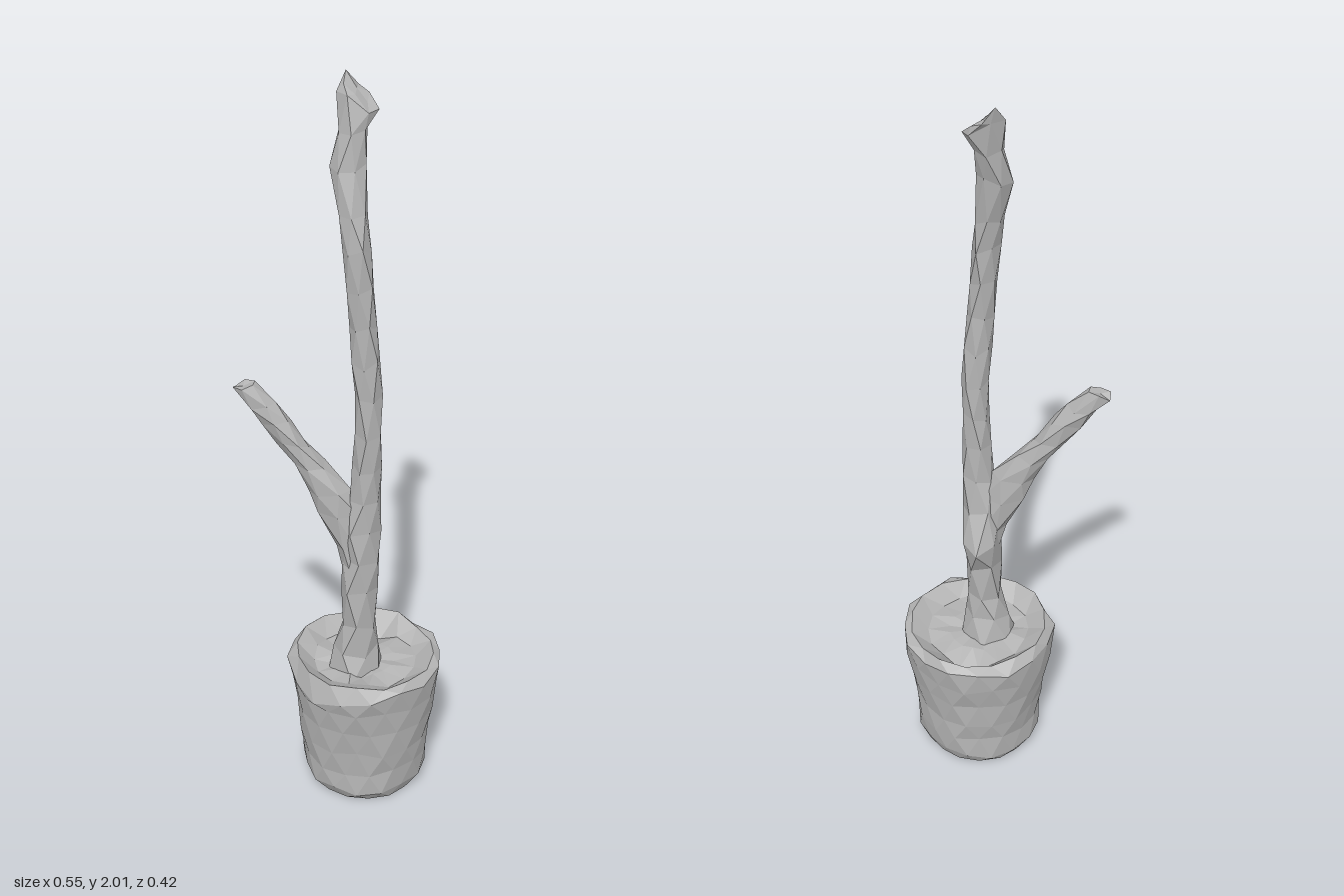
import * as THREE from 'three';

// small seeded random in -1..1 for the rough, chipped surface
function makeNoise(seed) {
  let s = seed;
  return () => {
    s = (s * 16807) % 2147483647;
    return (s / 2147483647) * 2 - 1;
  };
}

// Closed loft through horizontal rings [y, x, z, rx, rz]; each ring is turned
// half a step from the last so the sides break into triangles.
function loft(rings, sides, rough, lift, seed, shift = () => 0) {
  const noise = makeNoise(seed);
  const pos = [], index = [];
  const step = (Math.PI * 2) / sides;
  rings.forEach(([y, x, z, rx, rz], k) => {
    const edge = k === 0 ? 0 : 1;
    for (let i = 0; i < sides; i++) {
      const a = (i + 0.5 + (k % 2) * 0.5) * step;
      const r = 1 + noise() * rough;
      pos.push(
        x + Math.cos(a) * rx * r,
        y + edge * noise() * lift + shift(k, a),
        z + Math.sin(a) * rz * r
      );
    }
  });
  for (let k = 0; k < rings.length - 1; k++) {
    for (let i = 0; i < sides; i++) {
      const j = (i + 1) % sides;
      const a = k * sides + i, b = k * sides + j;
      const c = a + sides, d = b + sides;
      // the diagonal follows the half-step turn
      if (k % 2 === 0) index.push(a, c, b, b, c, d);
      else index.push(a, c, d, a, d, b);
    }
  }
  // end caps
  const last = (rings.length - 1) * sides;
  const lo = pos.length / 3, hi = lo + 1;
  const r0 = rings[0], r1 = rings[rings.length - 1];
  pos.push(r0[1], r0[0], r0[2], r1[1], r1[0], r1[2]);
  for (let i = 0; i < sides; i++) {
    const j = (i + 1) % sides;
    index.push(lo, i, j, hi, last + j, last + i);
  }
  const g = new THREE.BufferGeometry();
  g.setAttribute('position', new THREE.Float32BufferAttribute(pos, 3));
  g.setIndex(index);
  const flat = g.toNonIndexed();
  flat.computeVertexNormals();
  return flat;
}

export function createModel() {
  const model = new THREE.Group();
  const grey = new THREE.MeshStandardMaterial({ color: 0xb4b4b4 });
  grey.flatShading = true;

  const add = (name, geometry) => {
    const mesh = new THREE.Mesh(geometry, grey);
    mesh.name = name;
    model.add(mesh);
  };

  // pot wall, worn rim and sunken soil in one skin: [height, radius]
  const profile = [
    [0, 0.152], [0.035, 0.17], [0.1, 0.174], [0.17, 0.181], [0.25, 0.191],
    [0.32, 0.202], [0.385, 0.21], [0.405, 0.188], [0.375, 0.14], [0.37, 0.08],
  ];
  const near = (a, target, width) => {
    const d = Math.atan2(Math.sin(a - target), Math.cos(a - target));
    return Math.max(0, 1 - Math.abs(d) / width);
  };
  const rimWear = (k, a) => {
    if (k === 6) return -0.05 * near(a, 2.1, 0.8);   // chipped front corner
    if (k === 8) return -0.03 * near(a, -1.5, 0.9);  // hollow at the back
    return 0;
  };
  add('pot', loft(profile.map(([y, r]) => [y, 0.063, 0, r, r]), 16, 0.025, 0.009, 11, rimWear));

  // trunk, with a knot at the back and a bent, cut top
  add('trunk', loft([
    [0.35, 0.04, 0.015, 0.085, 0.075],
    [0.43, 0.042, 0.018, 0.064, 0.06],
    [0.51, 0.047, 0.02, 0.05, 0.05],
    [0.62, 0.048, 0.02, 0.052, 0.052],
    [0.71, 0.052, -0.003, 0.05, 0.078],
    [0.81, 0.055, 0.018, 0.05, 0.048],
    [0.9, 0.062, 0.022, 0.045, 0.04],
    [1.0, 0.07, 0.025, 0.038, 0.038],
    [1.1, 0.069, 0.025, 0.036, 0.037],
    [1.2, 0.068, 0.026, 0.036, 0.037],
    [1.3, 0.062, 0.03, 0.036, 0.036],
    [1.4, 0.057, 0.032, 0.036, 0.035],
    [1.5, 0.048, 0.033, 0.037, 0.037],
    [1.6, 0.038, 0.03, 0.038, 0.04],
    [1.68, 0.028, 0.016, 0.036, 0.036],
    [1.8, 0.013, -0.004, 0.042, 0.034],
    [1.88, 0.022, -0.02, 0.036, 0.032],
    [1.95, 0.035, -0.036, 0.05, 0.034],
    [1.972, 0.027, -0.05, 0.033, 0.03],
  ], 6, 0.1, 0.012, 29, (k, a) =>
    k >= 17 ? -0.028 * Math.cos(a) - 0.008 * Math.sin(a) : 0));

  // side branch, growing out of the trunk
  add('branch', loft([
    [0.64, 0.04, 0.02, 0.03, 0.035],
    [0.75, 0.03, 0.02, 0.042, 0.042],
    [0.85, -0.005, 0.02, 0.062, 0.042],
    [0.92, -0.03, 0.021, 0.055, 0.038],
    [0.99, -0.083, 0.021, 0.043, 0.036],
    [1.05, -0.126, 0.021, 0.042, 0.033],
    [1.11, -0.168, 0.021, 0.041, 0.031],
    [1.16, -0.207, 0.021, 0.038, 0.027],
    [1.207, -0.25, 0.022, 0.031, 0.024],
  ], 6, 0.08, 0.01, 47, (k, a) => (k === 8 ? 0.01 * Math.cos(a) : 0)));

  return model;
}
